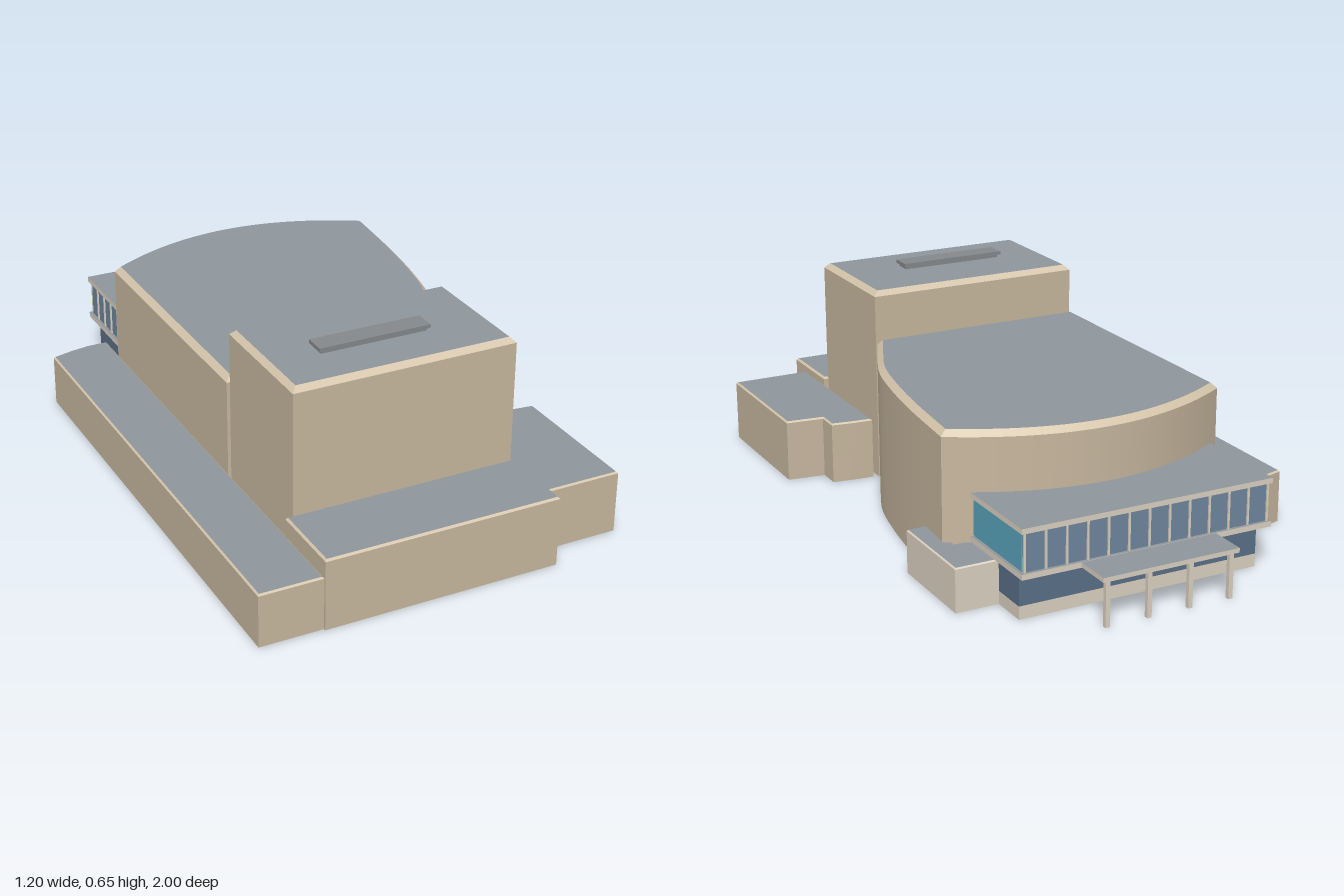
import * as THREE from 'three';
import { toCreasedNormals } from 'three/addons/utils/BufferGeometryUtils.js';

const mat = (color) => new THREE.MeshStandardMaterial({ color, side: THREE.DoubleSide });
const M = {
  wall: mat(0xc8b89f), rim: mat(0xd6c6ac), roof: mat(0x8f989e), pale: mat(0xddd2c3),
  glass: mat(0x6f869f), darkGlass: mat(0x5a7088), teal: mat(0x5aa5bd), metal: mat(0x85898c),
};

// Footprints are lists of [x, z]; all are turned to run the same way round.
const ordered = (pts) => {
  const v = pts.map(([x, z]) => new THREE.Vector2(x, -z));
  return THREE.ShapeUtils.area(v) < 0 ? v.reverse() : v;
};

// Moves every edge of a footprint inward by t.
function inset(loop, t) {
  const n = loop.length;
  const normal = (a, b) => { const d = b.clone().sub(a).normalize(); return new THREE.Vector2(-d.y, d.x); };
  return loop.map((p, i) => {
    const a = normal(loop[(i + n - 1) % n], p), b = normal(p, loop[(i + 1) % n]);
    return a.clone().add(b).multiplyScalar(t / (1 + a.dot(b))).add(p);
  });
}

// Strip of quads between two loops at two heights.
function band(name, low, y0, high, y1, material) {
  const pos = [], n = low.length;
  for (let i = 0; i < n; i++) {
    const j = (i + 1) % n;
    const a = [low[i].x, y0, -low[i].y], b = [low[j].x, y0, -low[j].y];
    const c = [high[j].x, y1, -high[j].y], d = [high[i].x, y1, -high[i].y];
    pos.push(...a, ...b, ...c, ...a, ...c, ...d);
  }
  const g = new THREE.BufferGeometry();
  g.setAttribute('position', new THREE.Float32BufferAttribute(pos, 3));
  return named(name, toCreasedNormals(g, 0.4), material);
}

function named(name, geometry, material) {
  const m = new THREE.Mesh(geometry, material);
  m.name = name;
  return m;
}

function cap(name, loop, y, material) {
  const g = new THREE.ShapeGeometry(new THREE.Shape(loop));
  g.rotateX(-Math.PI / 2).translate(0, y, 0);
  return named(name, g, material);
}

// Hollow block: walls, chamfered parapet and flat roof, open underneath.
function block(name, pts, height, chamfer, wall = M.wall, rim = M.rim) {
  const g = new THREE.Group(), loop = ordered(pts), top = inset(loop, chamfer);
  g.name = name;
  g.add(band(name + 'Walls', loop, 0, loop, height - chamfer, wall));
  g.add(band(name + 'Parapet', loop, height - chamfer, top, height, rim));
  g.add(cap(name + 'Roof', top, height, M.roof));
  return g;
}

function slab(name, pts, y0, y1) {
  const g = new THREE.Group(), loop = ordered(pts);
  g.name = name;
  g.add(band(name + 'Edge', loop, y0, loop, y1, M.pale));
  g.add(cap(name + 'Top', loop, y1, M.roof), cap(name + 'Underside', loop, y0, M.pale));
  return g;
}

function box(name, x0, x1, y0, y1, z0, z1, material) {
  const g = new THREE.BoxGeometry(x1 - x0, y1 - y0, z1 - z0);
  g.translate((x0 + x1) / 2, (y0 + y1) / 2, (z0 + z1) / 2);
  return named(name, g, material);
}

const rect = (x0, x1, z0, z1) => [[x0, z0], [x1, z0], [x1, z1], [x0, z1]];

// Bowed rear wall line of the auditorium.
const bow = (x) => -0.677 + 0.142 * ((x - 0.065) / 0.457) ** 2;
const bowPoints = (x0, x1, n = 24) =>
  Array.from({ length: n + 1 }, (_, i) => x0 + ((x1 - x0) * i) / n).map((x) => [x, bow(x)]);

// Foyer footprint: straight rear, front edge following the bowed wall.
const foyerPlan = (x0, x1, z) => [[x1, z], [x0, z], ...bowPoints(x0, x1)];

function createFoyer() {
  const g = new THREE.Group();
  g.name = 'foyer';
  // Ground floor: pale plinth with glazing above
  const lower = ordered(foyerPlan(-0.34, 0.44, -0.835));
  g.add(band('foyerPlinth', lower, 0, lower, 0.04, M.pale));
  g.add(band('groundFloorGlass', lower, 0.04, lower, 0.14, M.darkGlass));
  g.add(slab('upperFloorSlab', foyerPlan(-0.36, 0.455, -0.88), 0.138, 0.155));
  // Upper floor glazing
  const upper = ordered(foyerPlan(-0.35, 0.445, -0.87));
  g.add(band('upperFloorGlass', upper, 0.155, upper, 0.275, M.glass));
  g.add(box('sideGlass', 0.444, 0.449, 0.16, 0.27, -0.865, -0.58, M.teal));
  g.add(slab('foyerRoof', foyerPlan(-0.36, 0.455, -0.88), 0.272, 0.288));
  // Mullions along the rear and the right-hand side
  for (let i = 0; i <= 12; i++) {
    const x = -0.348 + (i * 0.791) / 12;
    g.add(box('rearMullion', x - 0.003, x + 0.003, 0.155, 0.272, -0.875, -0.868, M.pale));
  }
  for (let i = 1; i <= 5; i++) {
    const z = -0.87 + i * 0.06;
    g.add(box('sideMullion', -0.355, -0.348, 0.155, 0.272, z - 0.003, z + 0.003, M.pale));
  }
  // Entrance canopy on four posts
  g.add(slab('canopy', rect(-0.17, 0.27, -1, -0.875), 0.14, 0.154));
  for (let i = 0; i < 4; i++) {
    const x = -0.15 + (i * 0.4) / 3;
    g.add(box('canopyPost', x - 0.007, x + 0.007, 0, 0.14, -0.992, -0.978, M.pale));
  }
  return g;
}

export function createModel() {
  const model = new THREE.Group();
  model.name = 'theatre';

  // Auditorium with bowed rear and curved flank
  const flank = new THREE.CatmullRomCurve3(
    [[0.525, -0.533], [0.502, -0.28], [0.475, -0.09], [0.44, 0.07], [0.39, 0.195], [0.325, 0.342]]
      .map(([x, z]) => new THREE.Vector3(x, 0, z)))
    .getPoints(28).slice(1).map((p) => [p.x, p.z]);
  model.add(block('auditorium', [[-0.39, 0.342], ...bowPoints(-0.39, 0.525, 32), ...flank], 0.47, 0.018));

  // Stage tower with roof vent
  model.add(block('stageTower', rect(-0.381, 0.328, 0.345, 0.758), 0.625, 0.016));
  const vent = new THREE.Group();
  vent.name = 'roofVent';
  vent.add(box('ventBody', -0.217, 0.122, 0.624, 0.636, 0.552, 0.603, M.metal));
  vent.add(box('ventLid', -0.225, 0.13, 0.635, 0.646, 0.544, 0.611, M.metal));
  model.add(vent);

  // Low wings around the stage
  model.add(block('frontWing', rect(-0.402, 0.345, 0.752, 1), 0.225, 0.006));
  model.add(block('longWing',
    [[-0.6, 0.993], [-0.6, -0.582], [-0.535, -0.6], [-0.47, -0.612], [-0.402, -0.612], [-0.402, 0.993]], 0.168, 0.005));
  model.add(block('sideWing',
    [[0.345, 0.918], [0.345, 0.352], [0.41, 0.357], [0.48, 0.367], [0.48, 0.441], [0.54, 0.448], [0.6, 0.455], [0.6, 0.918]],
    0.2, 0.005));

  // Rear foyer and its annex
  model.add(createFoyer());
  model.add(block('foyerAnnex',
    [[0.43, -0.716], [0.575, -0.716], [0.575, -0.402], [0.5, -0.402], [0.5, -0.56], [0.43, -0.56]],
    0.135, 0.004, M.pale, M.pale));

  return model;
}
